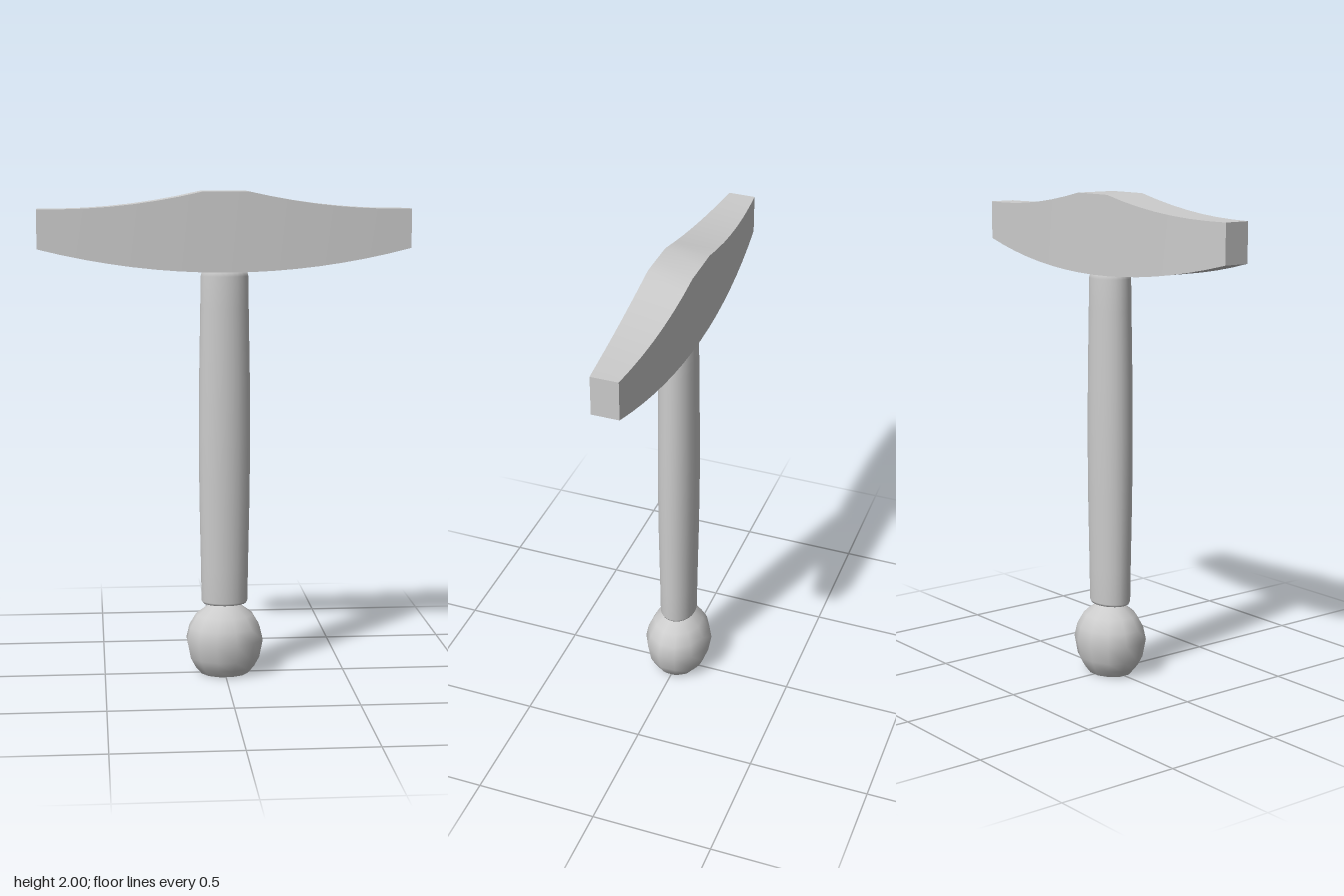
import * as THREE from 'three';

export function createModel() {
  const model = new THREE.Group();
  const grey = new THREE.MeshStandardMaterial({ color: 0xcccccc });
  grey.name = 'lightGrey';

  const add = (name, geometry) => {
    const mesh = new THREE.Mesh(geometry, grey);
    mesh.name = name;
    model.add(mesh);
  };

  // Lathed part with an oval section: profile of [half width, height], depth relative to width
  const oval = (profile, sides, depth, start) => {
    const points = profile.map(([r, y]) => new THREE.Vector2(r, y));
    const g = new THREE.LatheGeometry(points, sides, start);
    return g.scale(1, 1, depth);
  };

  // Round pommel, flat underneath
  add('pommel', oval([
    [0, 0], [0.1, 0], [0.1, 0], [0.126, 0.03], [0.148, 0.07], [0.163, 0.145],
    [0.15, 0.2], [0.12, 0.25], [0.055, 0.298], [0, 0.31],
  ], 12, 0.87, Math.PI / 12));

  // Slightly swollen grip with softened ends
  add('grip', oval([
    [0, 0.3], [0.09, 0.3], [0.096, 0.31], [0.098, 0.45], [0.104, 0.75], [0.106, 1],
    [0.104, 1.25], [0.099, 1.53], [0.097, 1.66], [0.09, 1.685], [0, 1.685],
  ], 24, 0.79, 0));

  // Crossbar: a box tapered towards both tips, domed above and bowed below
  const bar = new THREE.BoxGeometry(1.51, 1, 1, 16, 1, 1);
  const p = bar.attributes.position;
  for (let i = 0; i < p.count; i++) {
    const a = Math.abs(p.getX(i));
    const u = (a / 0.755) ** 2;
    const t = THREE.MathUtils.clamp((a - 0.094) / 0.6, 0, 1);
    const top = 1.93 + 0.07 * (1 - t) ** 2;
    const bottom = 1.678 + 0.094 * u;
    p.setY(i, p.getY(i) > 0 ? top : bottom);
    p.setZ(i, Math.sign(p.getZ(i)) * (0.09 - 0.035 * u));
  }
  bar.computeVertexNormals();
  add('crossbar', bar);

  return model;
}
